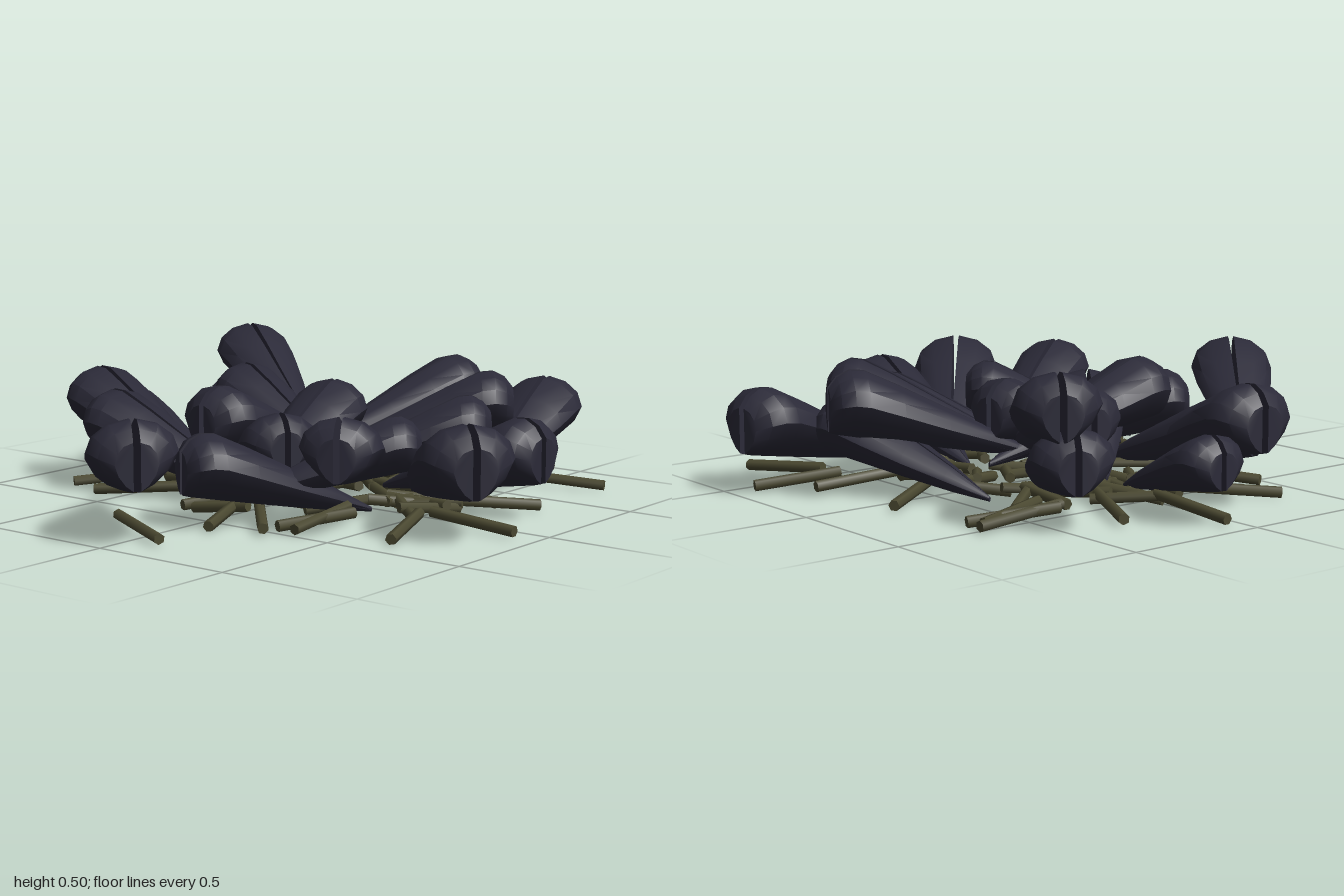
import * as THREE from 'three';
import { toCreasedNormals } from 'three/addons/utils/BufferGeometryUtils.js';

const shellMat = new THREE.MeshStandardMaterial({ color: 0x2b2a38 });
shellMat.name = 'dark blue shell';
const twigMat = new THREE.MeshStandardMaterial({ color: 0x4c4a32 });
twigMat.name = 'olive twig';

// Shell half lofted along +x: [position, outer width, bottom height, top height]
const STATIONS = [
  [0, 0.006, -0.008, 0.01], [0.16, 0.056, 0.01, 0.1], [0.32, 0.098, 0.035, 0.18],
  [0.48, 0.128, 0.062, 0.262], [0.6, 0.138, 0.083, 0.318], [0.65, 0.132, 0.092, 0.322],
  [0.695, 0.108, 0.1, 0.3], [0.725, 0.058, 0.108, 0.262],
];
// Cross-section, wide at the top and keeled below: [width share, height share]
const SECTION = [[0, 1], [0.5, 0.93], [0.86, 0.77], [1, 0.55], [0.8, 0.32], [0.42, 0.12], [0, 0]];

function shellHalfGeometry(side) {
  const pos = [], idx = [], m = SECTION.length;
  for (const [x, w, lo, hi] of STATIONS) {
    for (const [sw, sh] of SECTION) pos.push(x, lo + (hi - lo) * sh, side * w * sw);
  }
  const tri = (a, b, c) => (side > 0 ? idx.push(a, b, c) : idx.push(a, c, b));
  for (let i = 0; i < STATIONS.length - 1; i++) {
    for (let k = 0; k < m; k++) {
      const a = i * m + k, b = i * m + ((k + 1) % m);
      tri(a, b, b + m);
      tri(a, b + m, a + m);
    }
  }
  const last = (STATIONS.length - 1) * m;
  for (let k = 1; k < m - 1; k++) {
    tri(last, last + k, last + k + 1);
    tri(0, k + 1, k);
  }
  const g = new THREE.BufferGeometry();
  g.setAttribute('position', new THREE.Float32BufferAttribute(pos, 3));
  g.setIndex(idx);
  return toCreasedNormals(g, 0.6);
}

// Slightly open pairs: [baseX, baseZ, tipX, tipZ, base height]
const SHELLS = [
  [-0.44, 0.5, 0.115, 0.95, 0.09],
  [0.5, -0.29, 0.385, -0.99, 0.05],
  [-0.13, -0.18, 0.16, -0.8, 0.135],
  [-0.05, -0.16, 0.46, -0.59, 0.13],
  [0.0, -0.01, 0.475, -0.43, 0.08],
  [-0.16, -0.24, -0.75, -0.57, 0.21],
  [-0.17, -0.2, -0.75, -0.51, 0.04],
  [0.08, -0.13, -0.55, -0.28, 0.12],
  [-0.4, -0.02, -0.95, -0.1, 0.05],
  [-0.17, 0.28, -0.87, 0.155, 0.1],
  [0.0, 0.24, -0.7, 0.28, 0.05],
  [-0.09, -0.34, -0.15, 0.35, 0.11],
  [0.02, 0.33, -0.08, -0.33, 0.09],
  [0.19, -0.21, 0.88, -0.14, 0.045],
  [0.32, -0.2, 0.905, 0.275, 0.05],
  [0.2, -0.1, 0.52, 0.48, 0.1],
  [0.34, 0.06, 0.015, 0.635, 0.025],
  [0.1, 0.45, 0.5, 0.02, 0.09],
  [-0.36, -0.06, 0.16, 0.28, 0.07],
  [-0.26, -0.47, 0.35, -0.68, 0.04],
];

// Outlying twigs, running outward: [x1, z1, x2, z2]
const TWIGS = [
  [-0.18, 0.73, 0.12, 0.86], [0.45, -0.64, 0.75, -0.75], [0.54, -0.09, 0.76, -0.32],
  [0.6, 0.08, 0.92, 0.08], [0.58, 0.12, 0.68, 0.41], [0.08, 0.33, 0.28, 0.55],
  [-0.06, 0.14, -0.17, 0.43], [-0.3, 0.27, -0.58, 0.43], [-0.55, 0.1, -0.75, 0.36],
  [-0.44, -0.17, -0.73, -0.31], [-0.51, -0.38, -0.52, -0.71], [-0.54, -0.41, -0.44, -0.7],
  [-0.42, -0.4, -0.5, -0.68], [0.06, -0.48, -0.11, -0.74], [0.24, -0.46, 0.28, -0.78],
  [-0.22, -0.27, -0.4, -0.48], [0.02, 0.36, 0.12, 0.63], [0.4, 0.23, 0.29, 0.49],
  [0.35, 0.2, 0.36, 0.49], [-0.6, -0.06, -0.92, -0.05], [-0.13, 0.15, 0.17, 0.1],
  [0.1, 0.41, -0.12, 0.43], [0.42, -0.26, 0.64, -0.24], [0.33, -0.65, 0.42, -0.93],
];

export function createModel() {
  const model = new THREE.Group();
  model.name = 'shellPile';

  // Shells
  const halves = [1, -1].map((side) => [side, shellHalfGeometry(side)]);
  SHELLS.forEach(([bx, bz, tx, tz, y], i) => {
    const dx = tx - bx, dz = tz - bz, shell = new THREE.Group();
    shell.name = `shell${i + 1}`;
    for (const [side, geo] of halves) {
      const half = new THREE.Mesh(geo, shellMat);
      half.name = side > 0 ? 'shellHalfA' : 'shellHalfB';
      half.rotation.y = -side * 0.016;
      shell.add(half);
    }
    shell.position.set(bx, y, bz);
    shell.rotation.y = Math.atan2(-dz, dx);
    shell.scale.setScalar(Math.hypot(dx, dz) / 0.72);
    model.add(shell);
  });

  // Twig bed
  let seed = 11;
  const rand = () => (seed = (seed * 16807) % 2147483647) / 2147483647;
  const bed = new THREE.Group();
  bed.name = 'twigBed';
  const twigGeo = new THREE.CylinderGeometry(0.019, 0.019, 1, 6);
  const up = new THREE.Vector3(0, 1, 0);
  function twig(x1, z1, x2, z2) {
    const a = new THREE.Vector3(x1, 0.05 + rand() * 0.012, z1);
    const b = new THREE.Vector3(x2, 0.031 + rand() * 0.006, z2);
    const mesh = new THREE.Mesh(twigGeo, twigMat);
    mesh.name = 'twig';
    mesh.position.lerpVectors(a, b, 0.5);
    mesh.scale.y = a.distanceTo(b);
    mesh.quaternion.setFromUnitVectors(up, b.sub(a).normalize());
    bed.add(mesh);
  }
  TWIGS.forEach((t) => twig(...t));
  // Shorter twigs scattered under the shells
  for (let i = 0; i < 40; i++) {
    const a = rand() * Math.PI * 2, r = 0.5 * Math.sqrt(rand()), d = rand() * Math.PI * 2;
    const x = r * Math.cos(a) * 1.1, z = r * Math.sin(a) * 0.75 - 0.06;
    const cx = Math.cos(d) * 0.11, cz = Math.sin(d) * 0.11;
    twig(x - cx, z - cz, x + cx, z + cz);
  }
  model.add(bed);
  return model;
}
